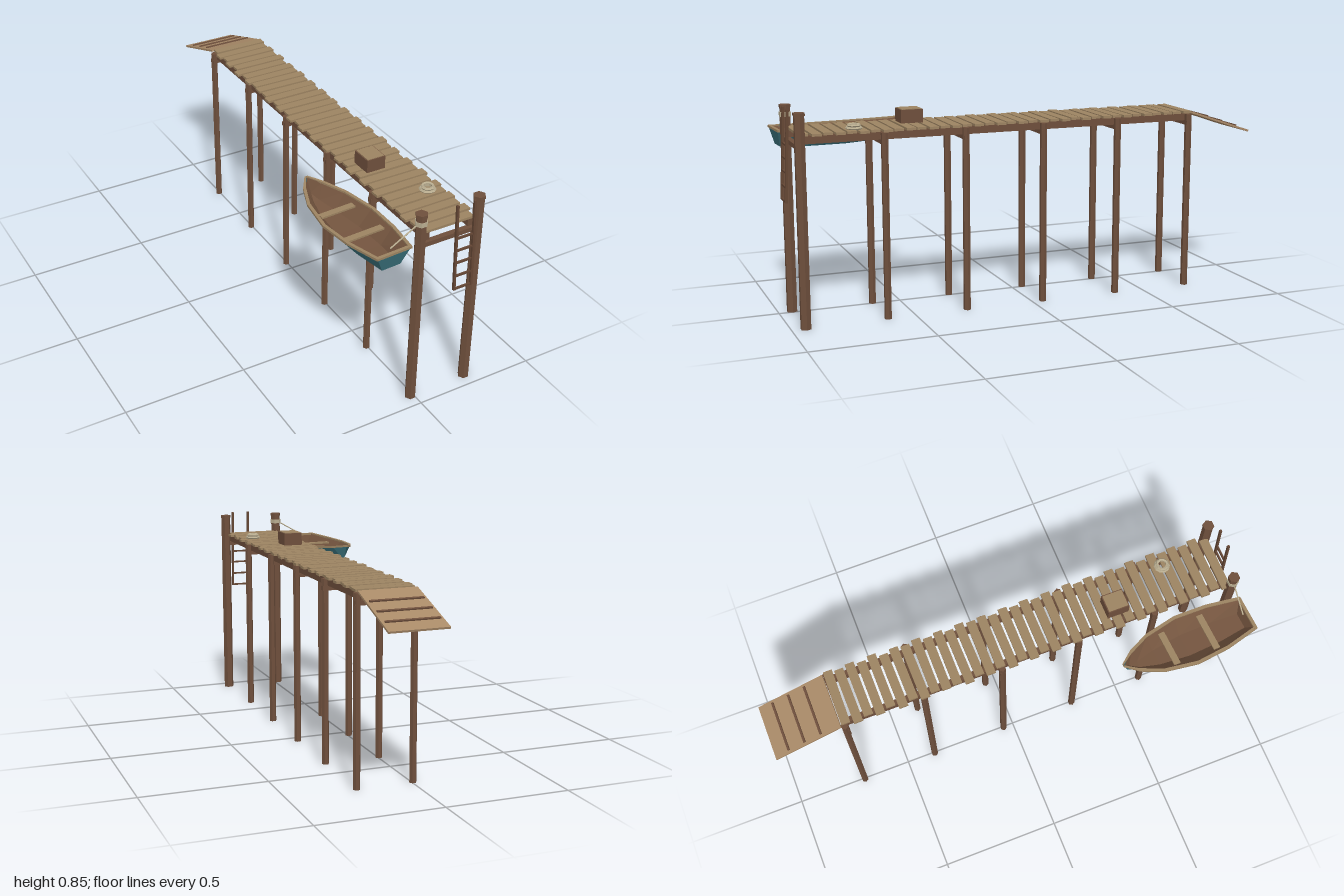
import * as THREE from 'three';

const mat = (name, color, opts = {}) => {
  const m = new THREE.MeshStandardMaterial({ color, flatShading: true, ...opts });
  m.name = name;
  return m;
};

// Flat-shaded skin through cross-sections of equal point counts
function loft(sections, closed, capStart, capEnd) {
  const v = [];
  const tri = (a, b, c) => v.push(...a, ...b, ...c);
  const n = sections[0].length;
  for (let i = 0; i + 1 < sections.length; i++) {
    const a = sections[i], b = sections[i + 1];
    for (let j = 0; j < (closed ? n : n - 1); j++) {
      const k = (j + 1) % n;
      tri(a[j], a[k], b[j]);
      tri(a[k], b[k], b[j]);
    }
  }
  const cap = (s) => { for (let j = 1; j + 1 < n; j++) tri(s[0], s[j], s[j + 1]); };
  if (capStart) cap(sections[0]);
  if (capEnd) cap(sections[sections.length - 1]);
  const g = new THREE.BufferGeometry();
  g.setAttribute('position', new THREE.Float32BufferAttribute(v, 3));
  g.computeVertexNormals();
  return g;
}

export function createModel() {
  const root = new THREE.Group();
  root.name = 'dock';
  const wood = mat('dark wood', 0x6e4f3c);
  const ladderWood = mat('ladder wood', 0x644634);
  const plankMat = mat('weathered plank', 0x9c8361);
  const rampMat = mat('ramp plank', 0xa98a68);
  const ropeMat = mat('rope', 0xb9ad90);
  const hullMat = mat('hull teal', 0x39707a, { side: THREE.DoubleSide });
  const innerMat = mat('boat interior', 0x74553f, { side: THREE.DoubleSide });
  const trimMat = mat('boat trim', 0x9c8361, { side: THREE.DoubleSide });

  const add = (name, geo, m, x = 0, y = 0, z = 0, parent = root) => {
    const mesh = new THREE.Mesh(geo, m);
    mesh.name = name;
    mesh.position.set(x, y, z);
    parent.add(mesh);
    return mesh;
  };
  const box = (name, w, h, d, m, x, y, z, parent) =>
    add(name, new THREE.BoxGeometry(w, h, d), m, x, y, z, parent);
  // Six-sided post with corners on the x axis
  const post = (name, r, y0, y1, m, x, z) =>
    add(name, new THREE.CylinderGeometry(r, r, y1 - y0, 6).rotateY(Math.PI / 2), m, x, (y0 + y1) / 2, z);
  const rod = (name, a, b, r, m, parent) => {
    const p = new THREE.Vector3(...a), q = new THREE.Vector3(...b), d = q.clone().sub(p);
    const mesh = add(name, new THREE.CylinderGeometry(r, r, d.length(), 6), m, 0, 0, 0, parent);
    mesh.position.copy(p).add(q).multiplyScalar(0.5);
    mesh.quaternion.setFromUnitVectors(new THREE.Vector3(0, 1, 0), d.normalize());
    return mesh;
  };
  let seed = 7;
  const rand = () => (seed = (seed * 16807) % 2147483647) / 2147483647;
  const CX = 0.11;

  // Mooring posts, pilings, cross beams and stringers
  for (const s of [-1, 1]) {
    post('mooringPost', 0.0215, 0, 0.828, wood, CX + s * 0.124, 0.945);
    post('mooringPostCap', 0.024, 0.825, 0.836, wood, CX + s * 0.124, 0.945);
    for (let i = 1; i < 6; i++) post('piling', 0.0145, 0, 0.74, wood, CX + s * 0.114, 0.945 - i * 0.33);
    box('stringer', 0.022, 0.031, 1.65, wood, CX + s * 0.094, 0.728, 0.118);
  }
  for (let i = 0; i < 6; i++) box('crossBeam', 0.25, 0.018, 0.022, wood, CX, 0.703, 0.945 - i * 0.33);

  // Deck planks, slightly uneven
  const count = 36, pitch = 1.668 / count;
  for (let i = 0; i < count; i++) {
    const side = i % 2 ? 1 : -1;
    const p = box('deckPlank', 0.232 + rand() * 0.008, 0.01, 0.037, plankMat,
      CX + side * (0.003 + rand() * 0.006), 0.747 + rand() * 0.002, 0.949 - (i + 0.5) * pitch);
    p.rotation.y = (rand() - 0.5) * 0.025;
  }

  // Shore ramp with cleats
  const ramp = new THREE.Group();
  ramp.name = 'ramp';
  ramp.position.set(CX, 0.699, -0.859);
  ramp.rotation.x = -Math.atan2(0.095, 0.28);
  root.add(ramp);
  box('rampBoard', 0.235, 0.008, 0.296, rampMat, 0, 0, 0, ramp);
  for (const z of [-0.085, -0.012, 0.062]) box('rampCleat', 0.212, 0.007, 0.009, wood, 0, 0.006, z, ramp);

  // Ladder
  const ladder = new THREE.Group();
  ladder.name = 'ladder';
  root.add(ladder);
  const ladderZ = (y) => 0.994 - (y - 0.49) * 0.046;
  for (const x of [0.115, 0.19]) {
    const r = box('ladderRail', 0.009, 0.356, 0.01, ladderWood, x, 0.667, ladderZ(0.667), ladder);
    r.rotation.x = -0.046;
  }
  for (const y of [0.493, 0.548, 0.604, 0.656, 0.708])
    box('ladderRung', 0.075, 0.007, 0.008, ladderWood, 0.1525, y, ladderZ(y), ladder);

  // Crate and rope coil
  box('crate', 0.08, 0.053, 0.09, wood, 0.075, 0.78, 0.47);
  box('crateLid', 0.072, 0.004, 0.082, plankMat, 0.075, 0.807, 0.47);
  [[0.027, 0.757], [0.021, 0.767]].forEach(([r, y]) =>
    add('ropeCoil', new THREE.TorusGeometry(r, 0.0065, 5, 10).rotateX(Math.PI / 2), ropeMat, 0.17, y, 0.72));

  // Mooring rope
  post('ropeWrap', 0.0245, 0.789, 0.807, ropeMat, CX - 0.124, 0.945);
  rod('mooringRope', [-0.03, 0.793, 0.945], [-0.14, 0.73, 0.945], 0.003, ropeMat);

  // Rowing boat: stations of [z top, z bottom, half top, half bottom, y top, y bottom]
  const boat = new THREE.Group();
  boat.name = 'rowingBoat';
  boat.position.set(-0.153, 0, 0.69);
  boat.rotation.y = 0.055;
  root.add(boat);
  const stations = [
    [0.28, 0.265, 0.072, 0.04, 0.724, 0.656],
    [0.14, 0.14, 0.1, 0.052, 0.719, 0.652],
    [0, 0, 0.109, 0.055, 0.718, 0.652],
    [-0.14, -0.13, 0.084, 0.04, 0.723, 0.656],
    [-0.23, -0.21, 0.044, 0.02, 0.731, 0.666],
    [-0.284, -0.262, 0.003, 0.002, 0.74, 0.678],
  ];
  const skin = (inset) => stations.map(([zt, zb, ht, hb, yt, yb], i) => {
    const dz = i === 0 ? -inset : i === 5 ? inset : 0;
    const t = Math.max(ht - inset, 0.001), b = Math.max(hb - inset, 0.001);
    return [[-t, yt, zt + dz], [-b, yb + inset, zb + dz], [b, yb + inset, zb + dz], [t, yt, zt + dz]];
  });
  add('hull', loft(skin(0), false, true, true), hullMat, 0, 0, 0, boat);
  add('hullLining', loft(skin(0.007), false, true, true), innerMat, 0, 0, 0, boat);
  for (const s of [-1, 1]) {
    const rail = stations.map(([z, , h, , y]) => {
      const o = s * (h + 0.004), n = s * Math.max(h - 0.009, 0);
      return [[o, y - 0.005, z], [o, y + 0.004, z], [n, y + 0.004, z], [n, y - 0.005, z]];
    });
    add('gunwale', loft(rail, true, true, true), trimMat, 0, 0, 0, boat);
  }
  box('transomRail', 0.15, 0.009, 0.013, trimMat, 0, 0.7235, 0.276, boat);
  box('thwart', 0.148, 0.007, 0.027, trimMat, 0, 0.703, -0.075, boat);
  box('thwart', 0.158, 0.007, 0.027, trimMat, 0, 0.703, 0.1, boat);

  return root;
}
